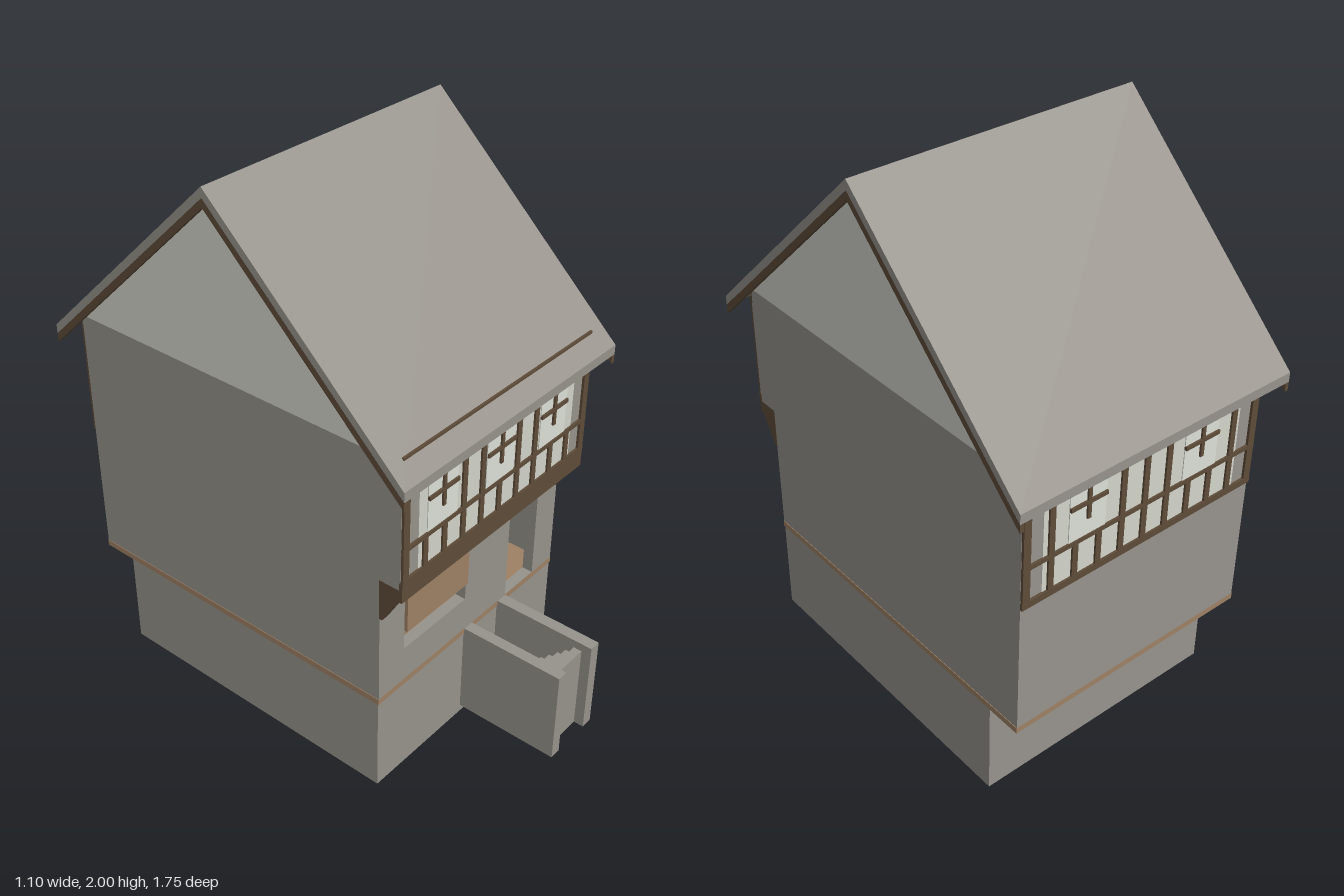
import * as THREE from 'three';

export function createModel() {
  const house = new THREE.Group();
  house.name = 'timberFramedHouse';
  const material = (name, color) => {
    const m = new THREE.MeshStandardMaterial({ color });
    m.name = name;
    return m;
  };
  const stone = material('stone', 0x97938c);
  const plaster = material('plaster', 0xd3d5cb);
  const glass = material('paleGlass', 0xdde0d8);
  const timber = material('darkTimber', 0x5f4c39);
  const wood = material('lightWood', 0x9e8165);

  const add = (name, geometry, mat, parent = house) => {
    const mesh = new THREE.Mesh(geometry, mat);
    mesh.name = name;
    parent.add(mesh);
    return mesh;
  };
  // Box given by its limits on each axis
  const box = (name, mat, x0, x1, y0, y1, z0, z1, parent) => {
    const g = new THREE.BoxGeometry(x1 - x0, y1 - y0, z1 - z0);
    g.translate((x0 + x1) / 2, (y0 + y1) / 2, (z0 + z1) / 2);
    return add(name, g, mat, parent);
  };
  // Side profile of [z, y] points, extruded across x from x0 to x1
  const profile = (name, mat, pts, x0, x1) => {
    const shape = new THREE.Shape(pts.map(([z, y]) => new THREE.Vector2(-z, y)));
    const g = new THREE.ExtrudeGeometry(shape, { depth: x1 - x0, bevelEnabled: false });
    g.rotateY(Math.PI / 2).translate(x0, 0, 0);
    return add(name, g, mat);
  };

  const W = 0.485;      // half width of the house
  const ridgeZ = -0.122, slope = 0.943, eave = 0.75;

  // Cellar and projecting floor
  box('cellar', stone, -W, W, 0, 0.36, -0.68, 0.487);
  box('floorSlab', wood, -W - 0.002, W + 0.002, 0.36, 0.383, -0.81, 0.49);

  // Main body, leaving a room behind the front wall
  profile('mainWalls', stone, [
    [0.2, 0.383], [0.2, 0.82], [0.49, 0.82], [0.49, 0.87], [0.57, 0.87], [0.57, 1.3],
    [0.55, 1.325], [-0.794, 1.325], [-0.81, 1.3], [-0.81, 0.383],
  ], -W, W);
  for (const s of [-1, 1]) {
    box('roomSideWall', stone, s * 0.4725 - 0.0125, s * 0.4725 + 0.0125, 0.383, 0.82, 0.2, 0.45);
  }
  profile('gables', plaster, [[0.55, 1.325], [ridgeZ, 1.96], [-0.794, 1.325]], -W, W);

  // Front wall with shop window and doorway
  const wall = new THREE.Shape([
    [-W, 0.383], [W, 0.383], [W, 0.82], [-W, 0.82],
  ].map(p => new THREE.Vector2(...p)));
  const hole = (x0, x1, y0, y1) => wall.holes.push(new THREE.Path(
    [[x0, y0], [x0, y1], [x1, y1], [x1, y0]].map(p => new THREE.Vector2(...p))));
  hole(-0.36, -0.035, 0.515, 0.815);
  hole(0.205, 0.37, 0.385, 0.74);
  const wallGeometry = new THREE.ExtrudeGeometry(wall, { depth: 0.04, bevelEnabled: false });
  wallGeometry.translate(0, 0, 0.45);
  add('frontWall', wallGeometry, stone);

  // Shutter, indoor steps and panelling
  box('shutterLower', wood, -0.357, -0.037, 0.588, 0.733, 0.485, 0.5);
  box('shutterUpper', wood, -0.357, -0.037, 0.737, 0.815, 0.48, 0.497);
  for (let i = 0; i < 4; i++) {
    box('indoorStep', wood, -0.42, -0.24, 0.383, 0.51 + i * 0.027, 0.37 - i * 0.04, 0.41 - i * 0.04);
  }
  box('doorPanelling', wood, 0.16, 0.42, 0.56, 0.8, 0.2, 0.22);

  // Sunken entrance stair descending towards the cellar
  box('stairWallRight', stone, -0.03, 0.012, 0.027, 0.382, 0.487, 0.877);
  box('stairWallLeft', stone, 0.162, 0.206, 0.027, 0.382, 0.487, 0.877);
  for (let i = 0; i < 11; i++) {
    const z = 0.84 - i * 0.031;
    box('stairStep', stone, 0.012, 0.162, 0.027, 0.352 - i * 0.029, z - 0.031, z);
  }

  // Jetty beam, joist ends and corner brackets
  box('jettyBeam', timber, -W - 0.001, W + 0.001, 0.827, 0.872, 0.488, 0.577);
  box('jettyFascia', timber, -W - 0.001, W + 0.001, 0.872, 0.9, 0.565, 0.577);
  for (let i = 0; i < 10; i++) {
    const x = -0.423 + i * 0.094;
    box('joistEnd', timber, x - 0.01, x + 0.01, 0.814, 0.83, 0.488, 0.55);
  }
  for (const s of [-1, 1]) {
    profile('cornerBracket', timber,
      [[0.488, 0.72], [0.5, 0.72], [0.565, 0.83], [0.488, 0.83]], s * 0.473 - 0.013, s * 0.473 + 0.013);
  }

  // Timber framing, built facing +z on the plane z = 0
  function framing(name, windows, bottom) {
    const g = new THREE.Group();
    g.name = name;
    const top = 1.29;
    box('plasterPanel', plaster, -0.405, 0.405, bottom, top, -0.003, 0.002, g);
    box('sillBeam', timber, -W, W, bottom, bottom + 0.025, 0, 0.009, g);
    box('middleRail', timber, -W, W, 1.012, 1.027, 0, 0.009, g);
    for (let i = 0; i < 11; i++) {
      const x = -0.47 + i * 0.094;
      const byWindow = windows.some(w => Math.abs(w - x) < 0.09);
      const r = i % 10 === 0 ? 0.014 : 0.011;
      box('stud', timber, x - r, x + r, bottom, byWindow ? 1.02 : top, 0, 0.009, g);
    }
    for (const w of windows) {
      box('windowPane', glass, w - 0.073, w + 0.073, 1.027, 1.23, 0, 0.005, g);
      box('windowTransom', timber, w - 0.073, w + 0.073, 1.143, 1.157, 0, 0.012, g);
      box('windowMullion', timber, w - 0.007, w + 0.007, 1.09, 1.23, 0, 0.012, g);
      for (const s of [-1, 1]) {
        box('shortStud', timber, w + s * 0.077 - 0.011, w + s * 0.077 + 0.011, 1.228, top, 0, 0.009, g);
      }
    }
    house.add(g);
    return g;
  }
  framing('frontFraming', [-0.293, 0, 0.288], 0.885).position.z = 0.57;
  const back = framing('backFraming', [-0.235, 0.235], 0.87);
  back.rotation.y = Math.PI;
  back.position.z = -0.81;

  // Wall plate whose top edge just shows through the roof
  box('wallPlate', timber, -W, W, 1.27, 1.353, 0.566, 0.574);

  // Pitched roof and barge boards: bands a chosen depth below the ridge line
  const band = (d0, d1) => {
    const y = (d, z) => 2 - d - slope * z;
    return [
      [ridgeZ + eave, y(d0, eave)], [ridgeZ, 2 - d0], [ridgeZ - eave, y(d0, eave)],
      [ridgeZ - eave, y(d1, eave)], [ridgeZ, 2 - d1], [ridgeZ + eave, y(d1, eave)],
    ];
  };
  profile('roof', stone, band(0, 0.035), -0.548, 0.548);
  for (const s of [-1, 1]) {
    profile('bargeBoard', timber, band(0.034, 0.066), s * 0.541 - 0.007, s * 0.541 + 0.007);
  }
  return house;
}
